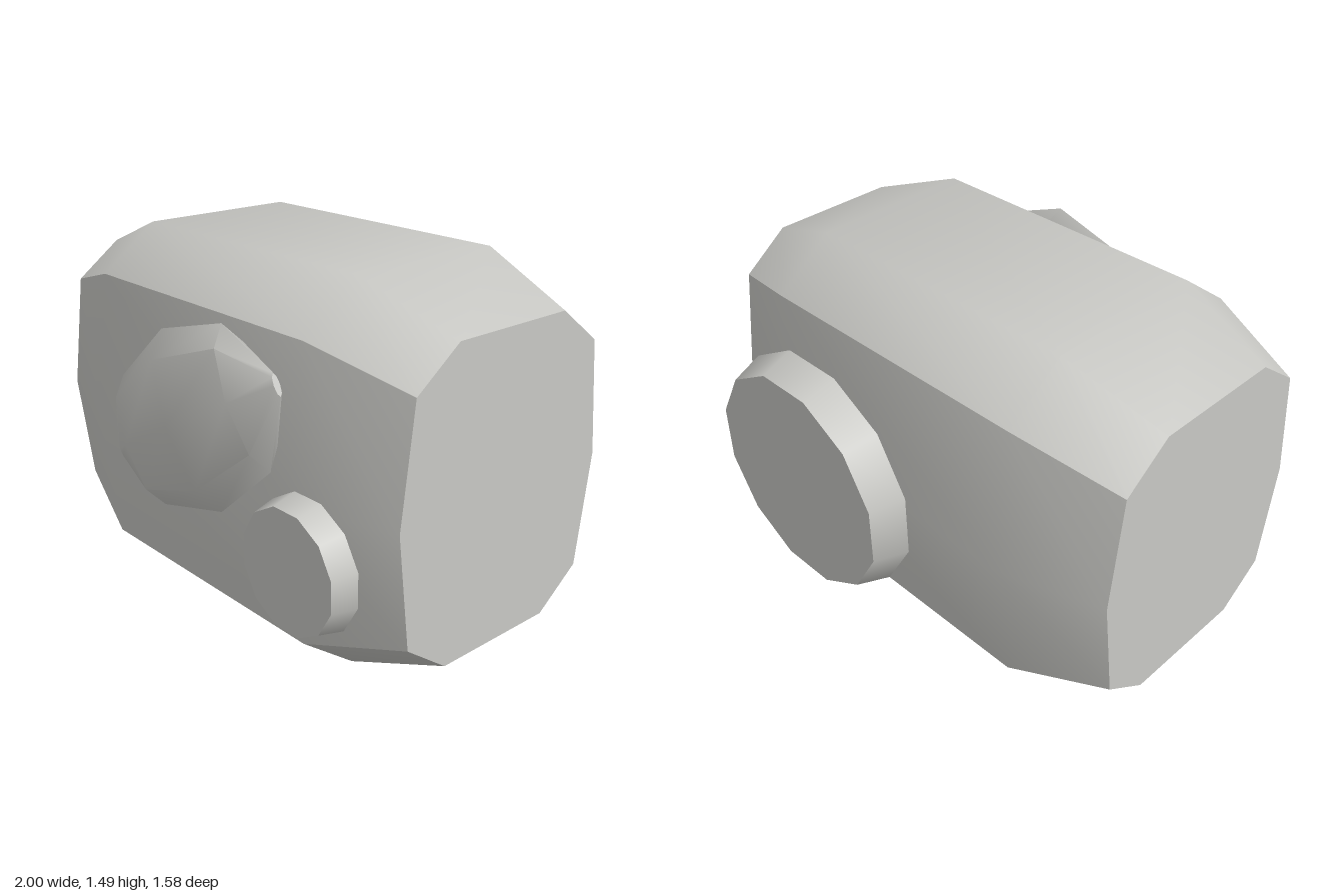
import * as THREE from 'three';
import { toCreasedNormals } from 'three/addons/utils/BufferGeometryUtils.js';

const CREASE = THREE.MathUtils.degToRad(42);

// Closed solid through scaled copies of one section ([z, y] about its centre), strung along x
function loftAlongX(section, stations, cy, cz) {
  const rings = stations.map(([x, s]) => section.map(([z, y]) => [x, cy + y * s, cz + z * s]));
  const n = section.length;
  const pos = [];
  const tri = (a, b, c) => pos.push(...a, ...b, ...c);
  for (let i = 0; i < rings.length - 1; i++) {
    for (let j = 0; j < n; j++) {
      const k = (j + 1) % n;
      const a = rings[i][j], b = rings[i][k], c = rings[i + 1][k], d = rings[i + 1][j];
      tri(a, b, c);
      tri(a, c, d);
    }
  }
  const first = rings[0], last = rings[rings.length - 1];
  for (let j = 1; j < n - 1; j++) {
    tri(last[0], last[j], last[j + 1]);
    tri(first[0], first[j + 1], first[j]);
  }
  const geo = new THREE.BufferGeometry();
  geo.setAttribute('position', new THREE.Float32BufferAttribute(pos, 3));
  return toCreasedNormals(geo, CREASE);
}

// Twelve-sided tapered disc facing +z
function disc(rFront, rBase, depth) {
  const geo = new THREE.CylinderGeometry(rFront, rBase, depth, 12, 1, false, Math.PI / 12);
  geo.rotateX(Math.PI / 2);
  return geo;
}

export function createModel() {
  const model = new THREE.Group();
  model.name = 'barrelDevice';
  const grey = new THREE.MeshStandardMaterial({ color: 0xc8c8c4 });
  grey.name = 'warm grey';

  const add = (name, geo, x, y, z) => {
    const mesh = new THREE.Mesh(geo, grey);
    mesh.name = name;
    mesh.position.set(x, y, z);
    model.add(mesh);
    return mesh;
  };

  // Ten-sided body, tapered at both ends
  const section = [
    [-0.335, 0.745], [0.335, 0.745], [0.575, 0.567], [0.645, 0], [0.575, -0.567],
    [0.335, -0.745], [-0.335, -0.745], [-0.575, -0.567], [-0.645, 0], [-0.575, 0.567],
  ];
  add('body', loftAlongX(section, [[-1, 0.8], [-0.6, 1], [0.6, 1], [1, 0.8]], 0.745, -0.007), 0, 0, 0);

  // Flattened, tilted oval on the front
  const profile = [
    [0, -0.55], [0.04, -0.55], [0.262, -0.365], [0.347, 0], [0.262, 0.365], [0.04, 0.55], [0, 0.55],
  ].map(([r, y]) => new THREE.Vector2(r, y));
  const oval = new THREE.LatheGeometry(profile, 8);
  oval.scale(1, 1, 0.33);
  const bump = add('frontOval', toCreasedNormals(oval, CREASE), 0.115, 0.925, 0.677);
  bump.rotation.z = THREE.MathUtils.degToRad(-61.6);

  // Small round button at the lower front
  add('frontButton', disc(0.23, 0.253, 0.097), 0.7, 0.568, 0.684);

  // Large round dial on the back
  const dial = add('backDial', disc(0.466, 0.512, 0.137), 0.35, 0.66, -0.723);
  dial.rotation.y = Math.PI;

  return model;
}
